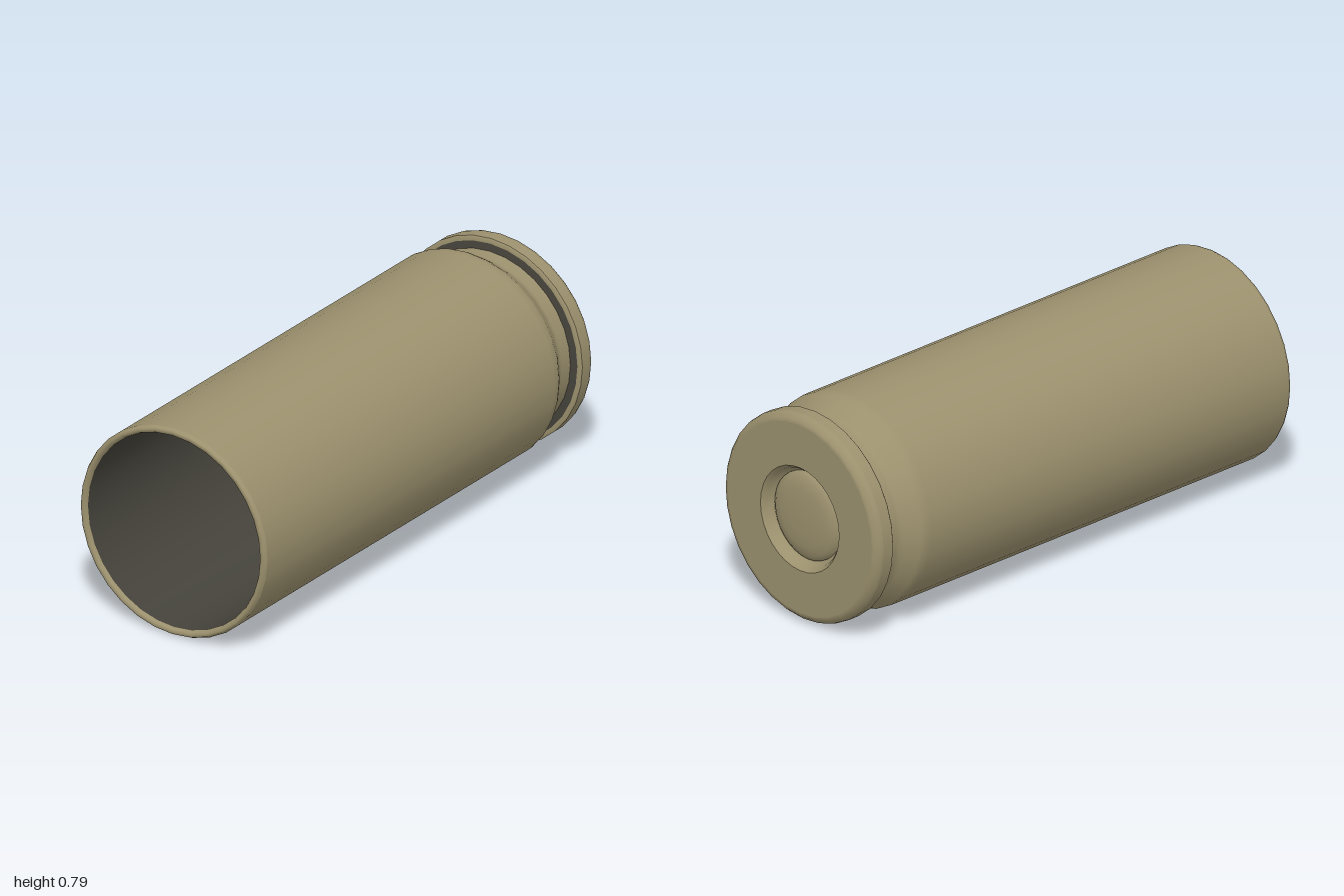
import * as THREE from 'three';

const SIDES = 32;
const CENTRE_Y = 0.397;

export function createModel() {
  const brass = new THREE.MeshStandardMaterial({ color: 0x9c916e });
  brass.name = 'brass';
  const soot = new THREE.MeshStandardMaterial({ color: 0x45433b });
  soot.name = 'dark soot';

  const model = new THREE.Group();
  model.name = 'cartridgeCase';

  // Each profile is a list of [radius, z], turned around the long axis.
  // Separate profiles meet in sharp edges; points within one are smooth.
  function turn(name, material, ...profiles) {
    const part = new THREE.Group();
    part.name = name;
    for (const profile of profiles) {
      const points = profile.map(([r, z]) => new THREE.Vector2(r, z));
      const geometry = new THREE.LatheGeometry(points, SIDES);
      geometry.rotateX(Math.PI / 2);
      const mesh = new THREE.Mesh(geometry, material);
      mesh.name = name;
      mesh.position.y = CENTRE_Y;
      part.add(mesh);
    }
    model.add(part);
  }

  // Domed primer with its rounded edge
  turn('primer', brass,
    [[0, -0.99], [0.06, -0.989], [0.11, -0.985], [0.145, -0.977], [0.165, -0.962], [0.168, -0.945]]);

  // Groove around the primer
  turn('primerPocket', brass,
    [[0.165, -0.955], [0.178, -0.965], [0.185, -0.985], [0.197, -1]]);

  // Rim: flat back, bevel, edge and front face
  turn('rim', brass,
    [[0.197, -1], [0.36, -1]],
    [[0.36, -1], [0.373, -0.998], [0.387, -0.982], [0.39, -0.97]],
    [[0.39, -0.97], [0.39, -0.925]],
    [[0.39, -0.925], [0.385, -0.92], [0.37, -0.92]]);

  // Dark ring on the front of the rim
  turn('extractorGrooveFace', soot, [[0.372, -0.92], [0.34, -0.915]]);

  // Neck, shoulder and straight wall
  turn('body', brass,
    [[0.345, -0.92], [0.345, -0.865], [0.347, -0.85], [0.355, -0.838],
      [0.388, -0.79], [0.396, -0.775], [0.397, -0.75]],
    [[0.397, -0.75], [0.397, 0.985]]);

  // Rounded mouth
  turn('lip', brass,
    [[0.397, 0.985], [0.391, 0.997], [0.384, 1], [0.374, 0.997], [0.369, 0.985]]);

  // Dark inner wall and closed bottom
  turn('interior', soot,
    [[0.369, 0.985], [0.369, -0.75], [0.33, -0.84], [0.32, -0.88], [0.28, -0.9], [0, -0.905]]);

  return model;
}
